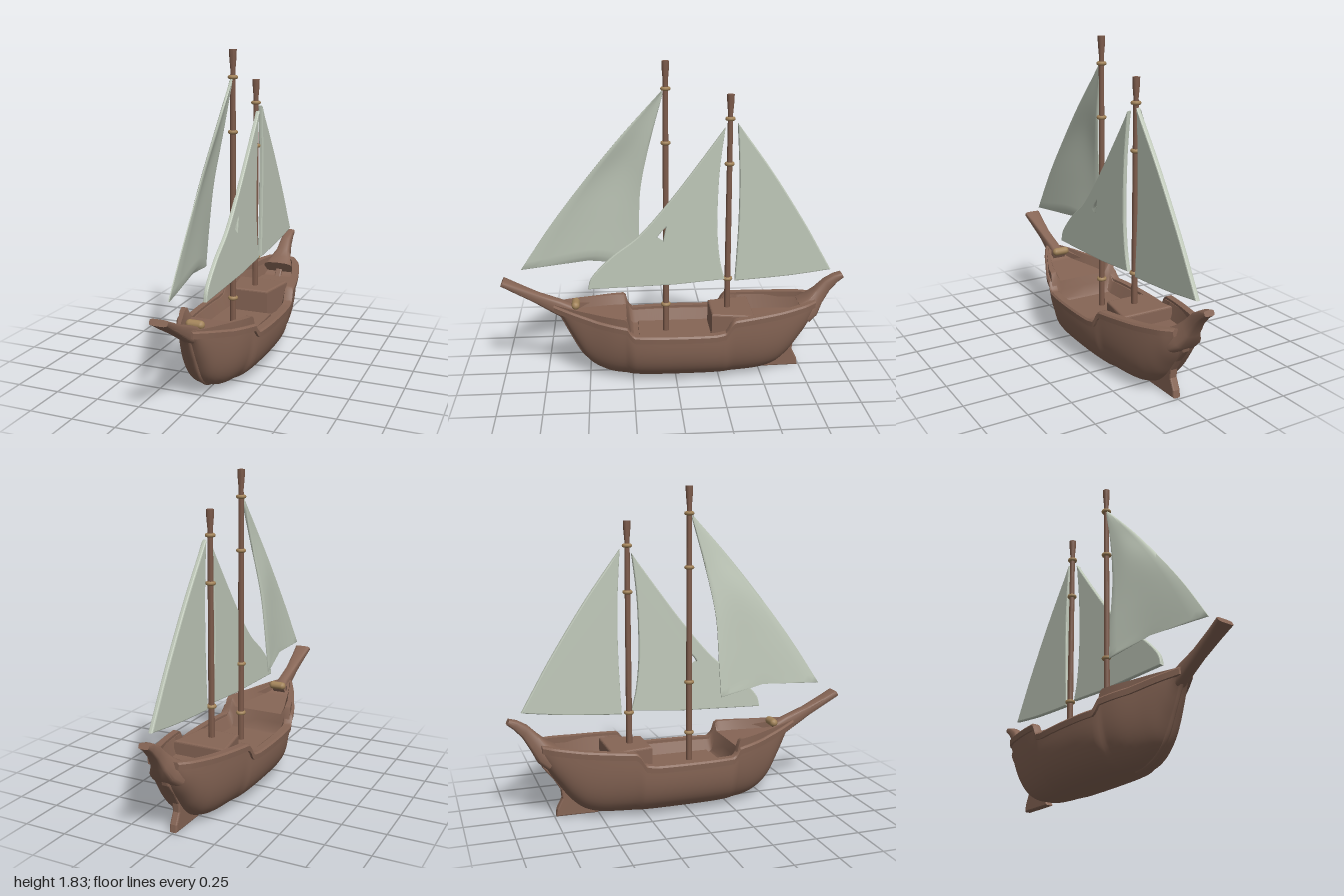
import * as THREE from 'three';
import { toCreasedNormals } from 'three/addons/utils/BufferGeometryUtils.js';

const mat = (name, color) => {
  const m = new THREE.MeshStandardMaterial({ color });
  m.name = name;
  return m;
};

// Piecewise table lookup: pairs of [z, value], straight or smoothed
function table(pts, smooth = false) {
  const slope = (i) => {
    const a = pts[Math.max(i - 1, 0)], b = pts[Math.min(i + 1, pts.length - 1)];
    return (b[1] - a[1]) / (b[0] - a[0]);
  };
  return (z) => {
    let i = 0;
    while (i < pts.length - 2 && z > pts[i + 1][0]) i++;
    const [z0, v0] = pts[i], [z1, v1] = pts[i + 1], h = z1 - z0;
    const t = Math.min(1, Math.max(0, (z - z0) / h));
    if (!smooth) return v0 + (v1 - v0) * t;
    const t2 = t * t, t3 = t2 * t;
    return v0 * (2 * t3 - 3 * t2 + 1) + v1 * (3 * t2 - 2 * t3)
      + h * (slope(i) * (t3 - 2 * t2 + t) + slope(i + 1) * (t3 - t2));
  };
}

// Closed solid through a series of closed rings of [x, y, z]
function loft(rings, crease = 0.7) {
  const n = rings[0].length, pos = rings.flat(2), index = [];
  const tri = (a, b, c) => index.push(a, b, c);
  for (let r = 0; r < rings.length - 1; r++) {
    for (let i = 0; i < n; i++) {
      const a = r * n + i, b = r * n + (i + 1) % n;
      tri(a, b, a + n);
      tri(b, b + n, a + n);
    }
  }
  [0, rings.length - 1].forEach((r, end) => {
    const c = pos.length / 3;
    for (let k = 0; k < 3; k++) pos.push(rings[r].reduce((s, p) => s + p[k], 0) / n);
    for (let i = 0; i < n; i++) {
      const a = r * n + i, b = r * n + (i + 1) % n;
      end ? tri(a, b, c) : tri(b, a, c);
    }
  });
  // Turn the faces outward if the enclosed volume is negative
  const v = (i) => new THREE.Vector3().fromArray(pos, i * 3);
  let volume = 0;
  for (let i = 0; i < index.length; i += 3) volume += v(index[i]).dot(v(index[i + 1]).cross(v(index[i + 2])));
  if (volume < 0) index.reverse();
  const g = new THREE.BufferGeometry();
  g.setAttribute('position', new THREE.Float32BufferAttribute(pos, 3));
  g.setIndex(index);
  return toCreasedNormals(g, crease);
}

// Solid from a (z, y) side outline, extruded across x
function sidePlate(shape, thickness, bevel) {
  const g = new THREE.ExtrudeGeometry(shape, {
    depth: thickness - 2 * bevel, bevelEnabled: bevel > 0, bevelSize: bevel, bevelThickness: bevel,
    bevelOffset: -bevel, bevelSegments: 2, curveSegments: 10,
  });
  g.translate(0, 0, -thickness / 2 + bevel);
  g.rotateY(-Math.PI / 2);
  return g;
}
const vec2 = (pts) => pts.map(([a, b]) => new THREE.Vector2(a, b));

// Hull lines along z
const halfWidth = table([[-0.82, 0.075], [-0.75, 0.12], [-0.6, 0.172], [-0.4, 0.215], [-0.2, 0.238], [0, 0.242],
  [0.2, 0.23], [0.35, 0.195], [0.5, 0.13], [0.6, 0.085], [0.7, 0.03]], true);
const keelY = table([[-0.82, 0.37], [-0.78, 0.28], [-0.72, 0.19], [-0.66, 0.11], [-0.58, 0.045], [-0.45, 0.015], [0, 0.008],
  [0.3, 0.015], [0.42, 0.04], [0.52, 0.11], [0.6, 0.25], [0.66, 0.37], [0.7, 0.42]], true);
const sheerY = table([[-0.82, 0.43], [-0.6, 0.405], [-0.33, 0.385], [-0.31, 0.37], [-0.28, 0.315], [-0.22, 0.305],
  [0.24, 0.305], [0.265, 0.34], [0.285, 0.415], [0.45, 0.425], [0.7, 0.445]]);
const railY = table([[-0.82, 0.43], [-0.6, 0.405], [-0.33, 0.385], [-0.31, 0.37], [-0.28, 0.315], [-0.22, 0.305],
  [0.24, 0.305], [0.26, 0.32], [0.28, 0.355], [0.45, 0.375], [0.7, 0.43]]);
const deckY = table([[-0.82, 0.41], [-0.74, 0.33], [-0.4, 0.31], [-0.38, 0.235], [0.25, 0.235], [0.28, 0.36], [0.58, 0.38], [0.7, 0.435]]);
const stations = Array.from({ length: 110 }, (_, i) => -0.82 + 1.52 * i / 109);

function hullRing(z) {
  const w = halfWidth(z), top = sheerY(z), keel = keelY(z), deck = Math.min(deckY(z), top - 0.005), ring = [];
  for (let i = 0; i <= 28; i++) {
    const a = Math.PI * i / 28, c = Math.cos(a), p = 2 / 2.6;
    ring.push([w * Math.sign(c) * Math.abs(c) ** p, top - (top - keel) * Math.sin(a) ** p, z]);
  }
  [[-0.84, top], [-0.72, deck], [0, deck], [0.72, deck], [0.84, top]].forEach(([k, y]) => ring.push([w * k, y, z]));
  return ring;
}

// Rounded box section for the curved end posts: [z, y, half width, half height]
const beamRing = ([z, y, hw, hh]) => Array.from({ length: 16 }, (_, i) => {
  const a = Math.PI * 2 * i / 16, f = (t) => Math.sign(t) * Math.abs(t) ** 0.5;
  const lift = hh * f(Math.sin(a));
  return [hw * f(Math.cos(a)), y + lift * 0.85, z - Math.sign(z) * lift * 0.45];
});

// Headsail surface from three edge curves, given a small thickness
function headsailGeometry() {
  const curve = (pts) => new THREE.CatmullRomCurve3(pts.map((p) => new THREE.Vector3(...p)));
  const luff = curve([[0, 1.67, 0.07], [0.005, 1.42, 0.3], [0.005, 1.18, 0.5], [0.005, 0.92, 0.7], [0, 0.655, 0.88]]);
  const belly = curve([[-0.005, 1.66, 0.07], [-0.015, 1.45, 0.185], [-0.035, 1.22, 0.31], [-0.04, 0.95, 0.4], [-0.045, 0.715, 0.45]]);
  const leech = curve([[-0.005, 1.65, 0.065], [-0.03, 1.36, 0.14], [-0.06, 1.1, 0.19], [-0.085, 0.85, 0.2], [-0.1, 0.64, 0.21]]);
  const rings = [];
  for (let r = 0; r <= 24; r++) {
    const t = r / 24;
    const row = curve([luff, belly, leech].map((c) => c.getPoint(t).toArray())).getPoints(16);
    const side = (s) => row.map((p, i) => [p.x + s * (i % 16 ? 0.008 : 0.003), p.y, p.z]);
    rings.push([...side(1), ...side(-1).reverse()]);
  }
  return loft(rings, 1);
}

export function createModel() {
  const model = new THREE.Group();
  const wood = mat('hull wood', 0x866555), spar = mat('mast wood', 0x7d5b4b);
  const cloth = mat('sail cloth', 0xc0c9ba), rope = mat('rope tan', 0xa3845a);
  cloth.side = THREE.DoubleSide;
  const add = (name, geometry, material, x = 0, y = 0, z = 0, parent = model) => {
    const m = new THREE.Mesh(geometry, material);
    m.name = name;
    m.position.set(x, y, z);
    parent.add(m);
    return m;
  };

  // Hull with sunken decks, and a rail along each side
  add('hull', loft(stations.map(hullRing)), wood);
  for (const s of [1, -1]) {
    add(s > 0 ? 'leftRail' : 'rightRail', loft(stations.map((z) => {
      const w = halfWidth(z), y = railY(z);
      return [[0.014, -0.026], [0.017, 0.004], [0.008, 0.014], [-0.03, 0.014], [-0.03, -0.02]]
        .map(([dx, dy]) => [s * Math.max(0.01, w + dx), y + dy, z]);
    })), wood);
  }

  // Bowsprit, raised sternpost, stem and rudder
  add('bowsprit', loft([[0.6, 0.385, 0.04, 0.05], [0.68, 0.425, 0.034, 0.045], [0.8, 0.485, 0.033, 0.03],
    [0.92, 0.548, 0.042, 0.023], [0.99, 0.586, 0.05, 0.018]].map(beamRing)), wood);
  add('sternpost', loft([[-0.76, 0.36, 0.1, 0.07], [-0.81, 0.395, 0.08, 0.065], [-0.85, 0.45, 0.046, 0.05],
    [-0.9, 0.515, 0.036, 0.037], [-0.95, 0.556, 0.032, 0.026], [-0.99, 0.576, 0.03, 0.016]].map(beamRing)), wood);
  const stemPath = new THREE.CatmullRomCurve3([0.3, 0.42, 0.52, 0.6, 0.66, 0.69]
    .map((z) => new THREE.Vector3(0, keelY(z) + 0.008, z)));
  add('stem', new THREE.TubeGeometry(stemPath, 24, 0.015, 8), wood);
  add('rudder', sidePlate(new THREE.Shape(vec2([[-0.5, 0.005], [-0.74, 0.008], [-0.735, 0.05], [-0.705, 0.11], [-0.71, 0.16],
    [-0.75, 0.225], [-0.81, 0.3], [-0.83, 0.38], [-0.76, 0.38], [-0.6, 0.15]]).reverse()), 0.044, 0.008), wood);

  // Deck fittings
  add('deckPanel', new THREE.BoxGeometry(0.28, 0.03, 0.42), wood, 0, 0.24, 0);
  const hatch = new THREE.Shape(vec2([[-0.145, 0.44], [-0.105, 0.22], [0.105, 0.22], [0.145, 0.44]]));
  const hatchGeometry = new THREE.ExtrudeGeometry(hatch, { depth: 0.17, bevelSize: 0.012, bevelThickness: 0.012, bevelSegments: 3 });
  hatchGeometry.rotateX(-Math.PI / 2);
  add('hatch', hatchGeometry, wood, 0, 0.21, 0);
  const windlass = add('windlass', new THREE.CapsuleGeometry(0.024, 0.06, 4, 12), rope, 0, 0.437, 0.575);
  windlass.rotation.z = Math.PI / 2;

  // Masts with flared heads and rope collars
  const mast = (name, z, top, collars) => {
    const g = new THREE.Group();
    g.name = name;
    g.position.z = z;
    model.add(g);
    const profile = [[0, 0.22], [0.018, 0.22], [0.015, top - 0.16], [0.014, top - 0.11], [0.02, top - 0.04], [0.021, top], [0, top]];
    add('pole', toCreasedNormals(new THREE.LatheGeometry(vec2(profile), 16), 0.7), spar, 0, 0, 0, g);
    for (const y of collars) {
      const ring = add('collar', new THREE.TorusGeometry(0.018, 0.011, 8, 16), rope, 0, y, 0, g);
      ring.rotation.x = Math.PI / 2;
    }
  };
  mast('foreMast', 0.05, 1.83, [1.68, 1.38, 0.72, 0.42]);
  mast('aftMast', -0.31, 1.645, [1.51, 1.255, 0.57]);

  // Sails
  add('headSail', headsailGeometry(), cloth);
  const middle = new THREE.Shape();
  middle.moveTo(-0.28, 1.465);
  middle.splineThru(vec2([[-0.25, 1.2], [-0.243, 0.9], [-0.26, 0.7], [-0.29, 0.575]]));
  middle.lineTo(0.0, 0.55);
  middle.lineTo(0.5, 0.535);
  middle.splineThru(vec2([[0.475, 0.61], [0.36, 0.73], [0.2, 0.855], [0.03, 1.05], [-0.13, 1.26], [-0.28, 1.465]]));
  const gap = new THREE.Path();
  gap.moveTo(0.05, 0.9);
  gap.splineThru(vec2([[0.1, 0.84], [0.13, 0.76], [0.115, 0.67], [0.08, 0.57]]));
  gap.splineThru(vec2([[0.07, 0.66], [0.075, 0.76], [0.05, 0.9]]));
  middle.holes.push(gap);
  add('middleSail', sidePlate(middle, 0.024, 0.006), cloth, 0.022);

  const rear = new THREE.Shape();
  rear.moveTo(-0.35, 1.49);
  rear.splineThru(vec2([[-0.55, 1.215], [-0.74, 0.92], [-0.85, 0.73], [-0.915, 0.615]]));
  rear.splineThru(vec2([[-0.7, 0.587], [-0.5, 0.57], [-0.35, 0.56]]));
  rear.splineThru(vec2([[-0.366, 0.9], [-0.366, 1.2], [-0.35, 1.49]]));
  add('rearSail', sidePlate(rear, 0.026, 0.007), cloth, 0.012);
  return model;
}
